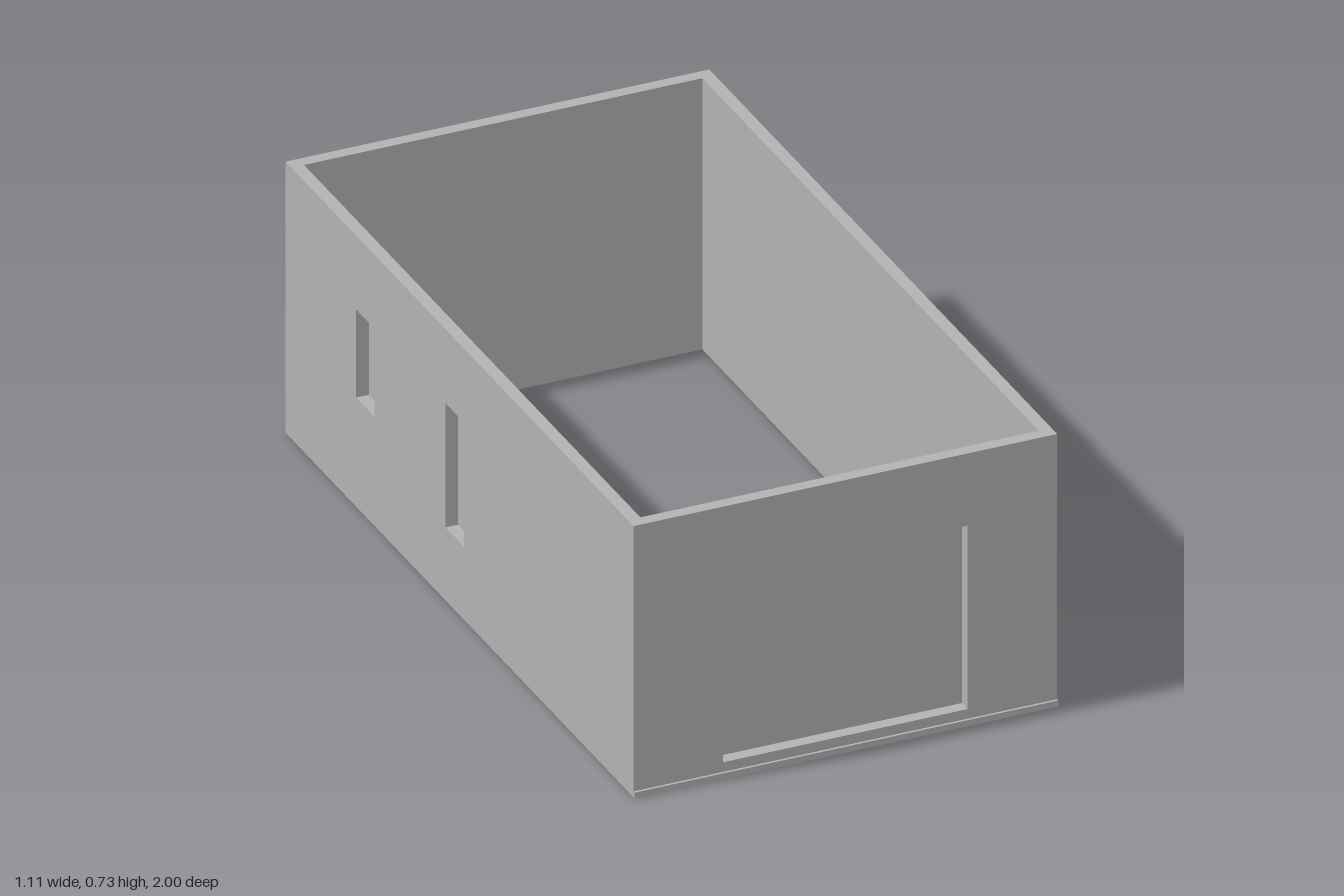
import * as THREE from 'three';

const W = 0.553, H = 0.733;          // half width, height
const IN = 0.52;                     // inner half width
const BACK = -1, FRONT = 0.993;      // outer wall faces in z
const T = W - IN;                    // wall thickness
const MARGIN = 0.007, PANEL = 0.005; // panel overlap and thickness

export function createModel() {
  const model = new THREE.Group();
  model.name = 'openBuilding';
  const grey = new THREE.MeshStandardMaterial({ color: 0xb2b2b2 });
  grey.name = 'plaster grey';

  const add = (name, geometry) => {
    const mesh = new THREE.Mesh(geometry, grey);
    mesh.name = name;
    model.add(mesh);
  };

  // Box given by its minimum and maximum corners
  const box = (x0, x1, y0, y1, z0, z1) =>
    new THREE.BoxGeometry(x1 - x0, y1 - y0, z1 - z0)
      .translate((x0 + x1) / 2, (y0 + y1) / 2, (z0 + z1) / 2);

  // Upright slab from u0 to u1 with rectangular openings
  const wall = (u0, u1, openings) => {
    const rect = (path, a, b, c, d) =>
      path.moveTo(a, c).lineTo(b, c).lineTo(b, d).lineTo(a, d).closePath();
    const shape = rect(new THREE.Shape(), u0, u1, 0, H);
    for (const o of openings) shape.holes.push(rect(new THREE.Path(), ...o));
    return new THREE.ExtrudeGeometry(shape, { depth: T, bevelEnabled: false });
  };

  // Openings: start, end, bottom, top
  const door = [-0.319, 0.319, 0.042, 0.538];
  const windows = [
    [-0.596, -0.49, 0.295, 0.533],
    [-0.084, 0.022, 0.197, 0.533],
  ];

  // Walls
  add('leftWall', box(IN, W, 0, H, BACK, FRONT));
  add('rightWall', wall(BACK, FRONT, windows).rotateY(-Math.PI / 2).translate(-IN, 0, 0));
  add('backWall', box(-IN, IN, 0, H, BACK, BACK + T));
  add('frontWall', wall(-IN, IN, [door]).translate(0, 0, FRONT - T));

  // Threshold strip along the foot of the front
  add('frontSill', box(-W, W, 0, 0.016, FRONT, 1));

  // Panels closing the openings from the inside
  const grow = ([a, b, c, d]) => [a - MARGIN, b + MARGIN, c - MARGIN, d + MARGIN];
  add('doorPanel', box(...grow(door), FRONT - T - PANEL, FRONT - T));
  windows.forEach((w, i) => {
    const [z0, z1, y0, y1] = grow(w);
    add(`windowPanel${i + 1}`, box(-IN, -IN + PANEL, y0, y1, z0, z1));
  });

  return model;
}
